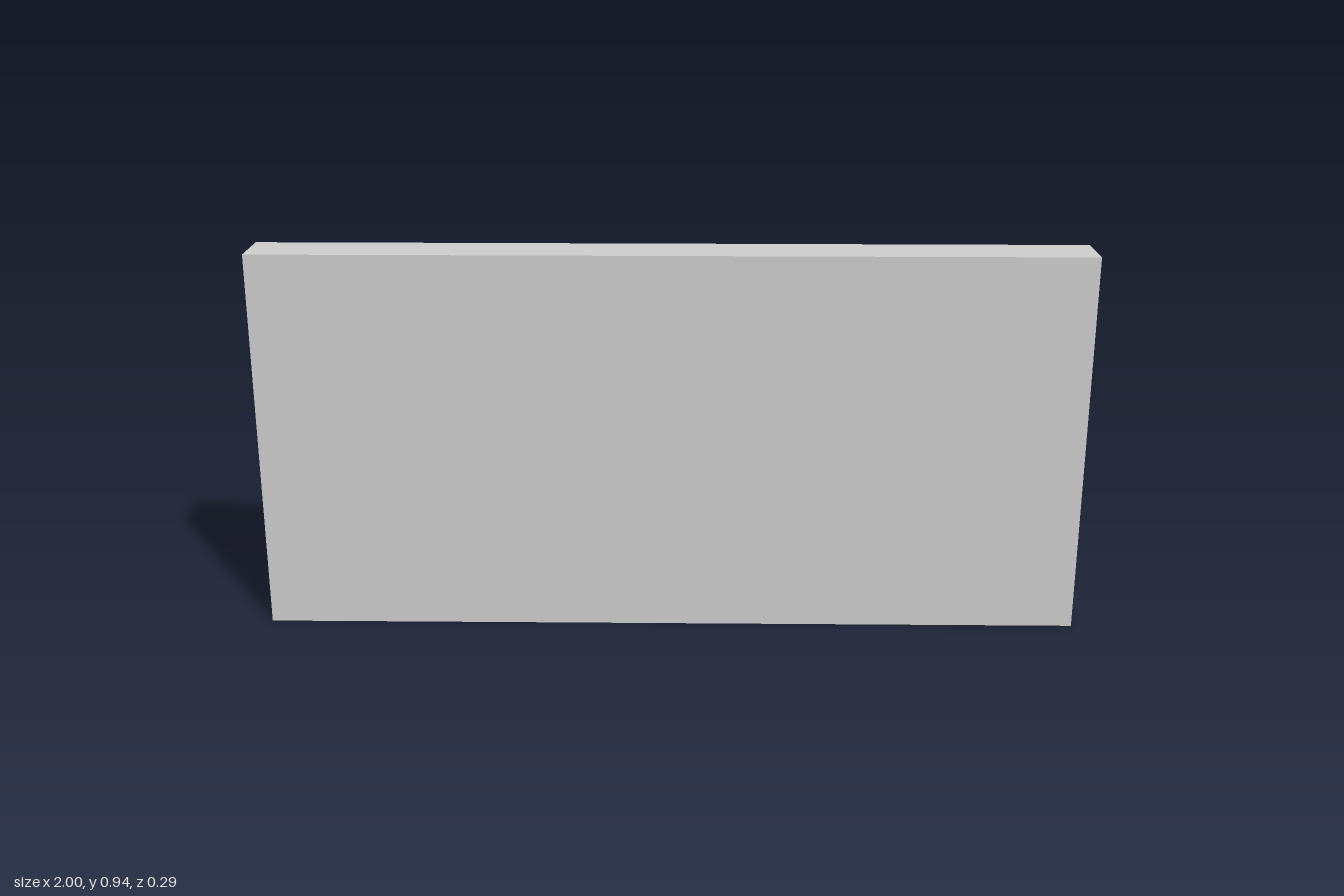
import * as THREE from 'three';

const WALL = 0.015; // z of the slab's rear face
const mat = new THREE.MeshStandardMaterial({ color: 0xcccccc });

export function createModel() {
  const model = new THREE.Group();

  const add = (name, geometry, parent = model) => {
    const mesh = new THREE.Mesh(geometry, mat);
    mesh.name = name;
    parent.add(mesh);
    return mesh;
  };

  // Box given by its limits on each axis
  const box = (name, x0, x1, y0, y1, z0, z1) => {
    const mesh = add(name, new THREE.BoxGeometry(x1 - x0, y1 - y0, z1 - z0));
    mesh.position.set((x0 + x1) / 2, (y0 + y1) / 2, (z0 + z1) / 2);
    return mesh;
  };

  // Cylinder along one axis, centred on a point
  const rod = (name, axis, radius, length, x, y, z, parent = model) => {
    const mesh = add(name, new THREE.CylinderGeometry(radius, radius, length, 24), parent);
    if (axis === 'x') mesh.rotation.z = Math.PI / 2;
    if (axis === 'z') mesh.rotation.x = Math.PI / 2;
    mesh.position.set(x, y, z);
    return mesh;
  };

  // Smooth round tube through a few points
  const tube = (name, radius, points) => {
    const curve = new THREE.CatmullRomCurve3(points.map((p) => new THREE.Vector3(...p)));
    return add(name, new THREE.TubeGeometry(curve, 32, radius, 14));
  };

  // Main slab and the two raised rear panels
  box('slab', -1, 1, 0, 0.94, WALL, 0.145);
  box('leftPanel', 0.07, 0.79, 0.495, 0.823, -0.048, WALL);
  box('rightPanel', -0.8, -0.08, 0.495, 0.823, -0.032, WALL);

  // Thin rods linking the panels
  for (const y of [0.605, 0.663, 0.722]) {
    rod('panelLink', 'x', 0.009, 0.17, -0.005, y, -0.012);
  }

  // Control box with cover plate, buttons and posts
  box('controlBox', -0.23, 0.06, 0.105, 0.395, -0.13, WALL);
  box('coverPlate', -0.215, -0.1, 0.122, 0.378, -0.143, -0.13);
  for (const x of [-0.043, 0.015]) {
    for (const y of [0.18, 0.233, 0.286, 0.34]) {
      rod('button', 'z', 0.018, 0.012, x, y, -0.131);
    }
  }
  for (const x of [-0.187, -0.155]) {
    rod('post', 'y', 0.01, 0.08, x, 0.427, -0.08);
  }

  // Thin cables bending from both sides of the box to the slab
  for (const [edge, side] of [[0.06, 1], [-0.23, -1]]) {
    for (const y of [0.197, 0.276, 0.342]) {
      tube('sideCable', 0.008, [
        [edge - side * 0.01, y, -0.097], [edge + side * 0.02, y, -0.092],
        [edge + side * 0.038, y, -0.065], [edge + side * 0.045, y, -0.02],
        [edge + side * 0.045, y, WALL + 0.005],
      ]);
    }
  }

  // Pipe from the box top into the left panel
  tube('feedPipe', 0.019, [
    [-0.028, 0.385, -0.028], [-0.028, 0.44, -0.028], [-0.022, 0.49, -0.028],
    [0.01, 0.525, -0.028], [0.045, 0.535, -0.028], [0.08, 0.537, -0.028],
  ]);

  // Thick looped pipes beside the box
  for (const y of [0.135, 0.25, 0.365]) {
    tube('loopPipe', 0.02, [
      [0.335, y, WALL + 0.01], [0.305, y, -0.016], [0.245, y, -0.031],
      [0.185, y, -0.016], [0.155, y, WALL + 0.01],
    ]);
  }

  // Two grids of ringed studs
  for (const cx of [0.603, -0.52]) {
    for (let i = -1; i <= 1; i++) {
      for (const y of [0.152, 0.258, 0.364]) {
        const stud = new THREE.Group();
        stud.name = 'stud';
        stud.position.set(cx + i * 0.1, y, 0);
        rod('studCore', 'z', 0.028, 0.042, 0, 0, -0.005, stud);
        const ring = add('studRing', new THREE.TorusGeometry(0.031, 0.008, 12, 28), stud);
        ring.position.z = -0.007;
        model.add(stud);
      }
    }
  }

  return model;
}
